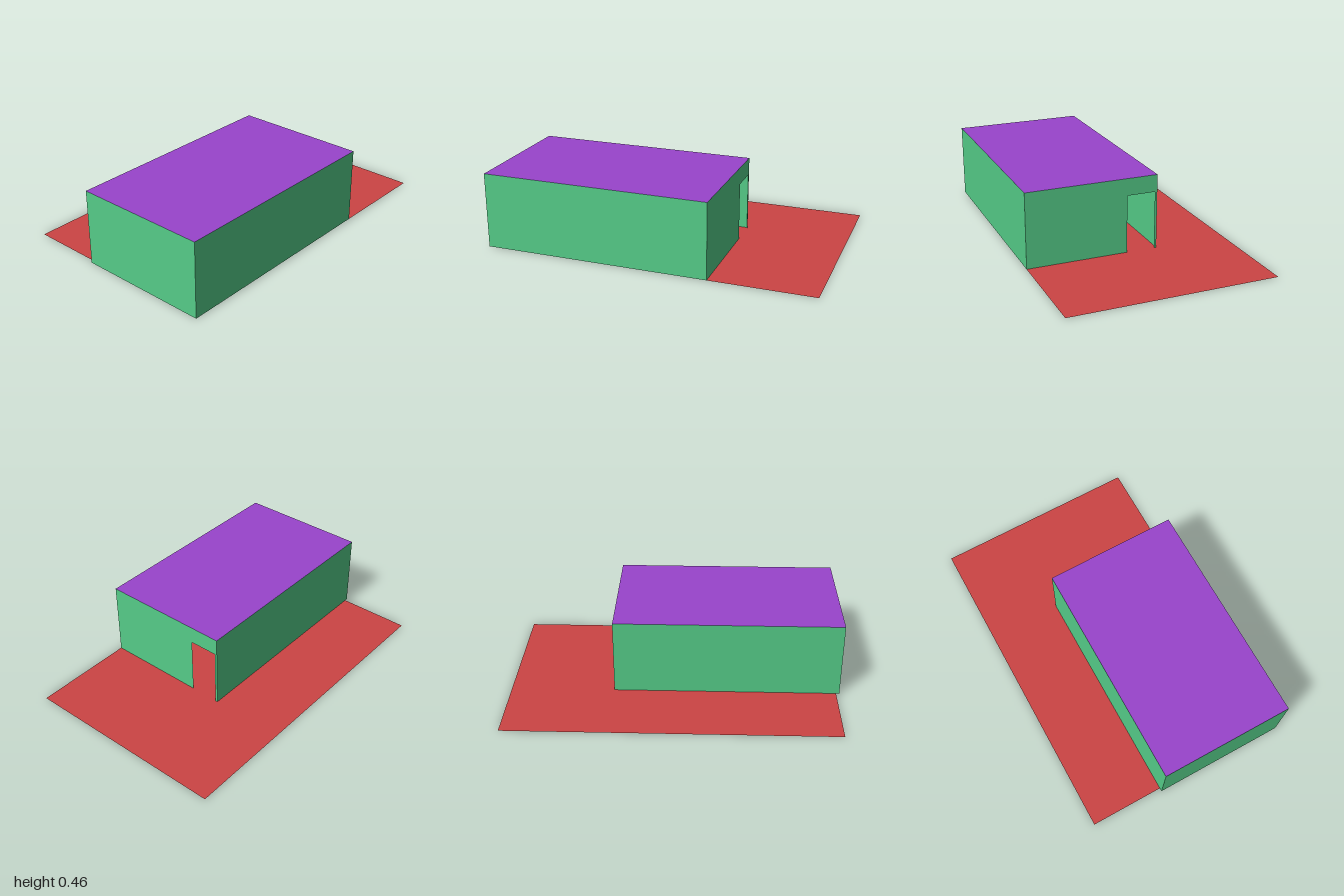
import * as THREE from 'three';

const X0 = -1, X1 = 0.37, Z0 = -0.18, Z1 = 0.63, H = 0.46;
const DOOR = { back: -0.165, front: 0.01, top: 0.355 };

export function createModel() {
  const model = new THREE.Group();
  model.name = 'building';
  const paint = (color) => new THREE.MeshStandardMaterial({ color, side: THREE.DoubleSide });
  const red = paint(0xcc4444), green = paint(0x55cc88), purple = paint(0x9944cc);

  const add = (name, geometry, material, x, y, z) => {
    const mesh = new THREE.Mesh(geometry, material);
    mesh.name = name;
    mesh.position.set(x, y, z);
    model.add(mesh);
  };
  const w = X1 - X0, d = Z1 - Z0, cx = (X0 + X1) / 2, cz = (Z0 + Z1) / 2;

  // Thin ground slab and flat roof
  add('ground', new THREE.PlaneGeometry(1.98, 1.26).rotateX(-Math.PI / 2), red, 0.01, 0, 0);
  add('roof', new THREE.PlaneGeometry(w, d).rotateX(-Math.PI / 2), purple, cx, H, cz);

  // Plain walls, facing outward
  add('frontWall', new THREE.PlaneGeometry(w, H), green, cx, H / 2, Z1);
  add('backWall', new THREE.PlaneGeometry(w, H).rotateY(Math.PI), green, cx, H / 2, Z0);
  add('rightWall', new THREE.PlaneGeometry(d, H).rotateY(-Math.PI / 2), green, X0, H / 2, cz);

  // Side wall with an open doorway, drawn with -z running along the shape's x
  const outline = [
    [-Z1, 0], [-DOOR.front, 0], [-DOOR.front, DOOR.top], [-DOOR.back, DOOR.top],
    [-DOOR.back, 0], [-Z0, 0], [-Z0, H], [-Z1, H],
  ].map(([x, y]) => new THREE.Vector2(x, y));
  const doorWall = new THREE.ShapeGeometry(new THREE.Shape(outline)).rotateY(Math.PI / 2);
  add('doorWall', doorWall, green, X1, 0, 0);

  return model;
}
